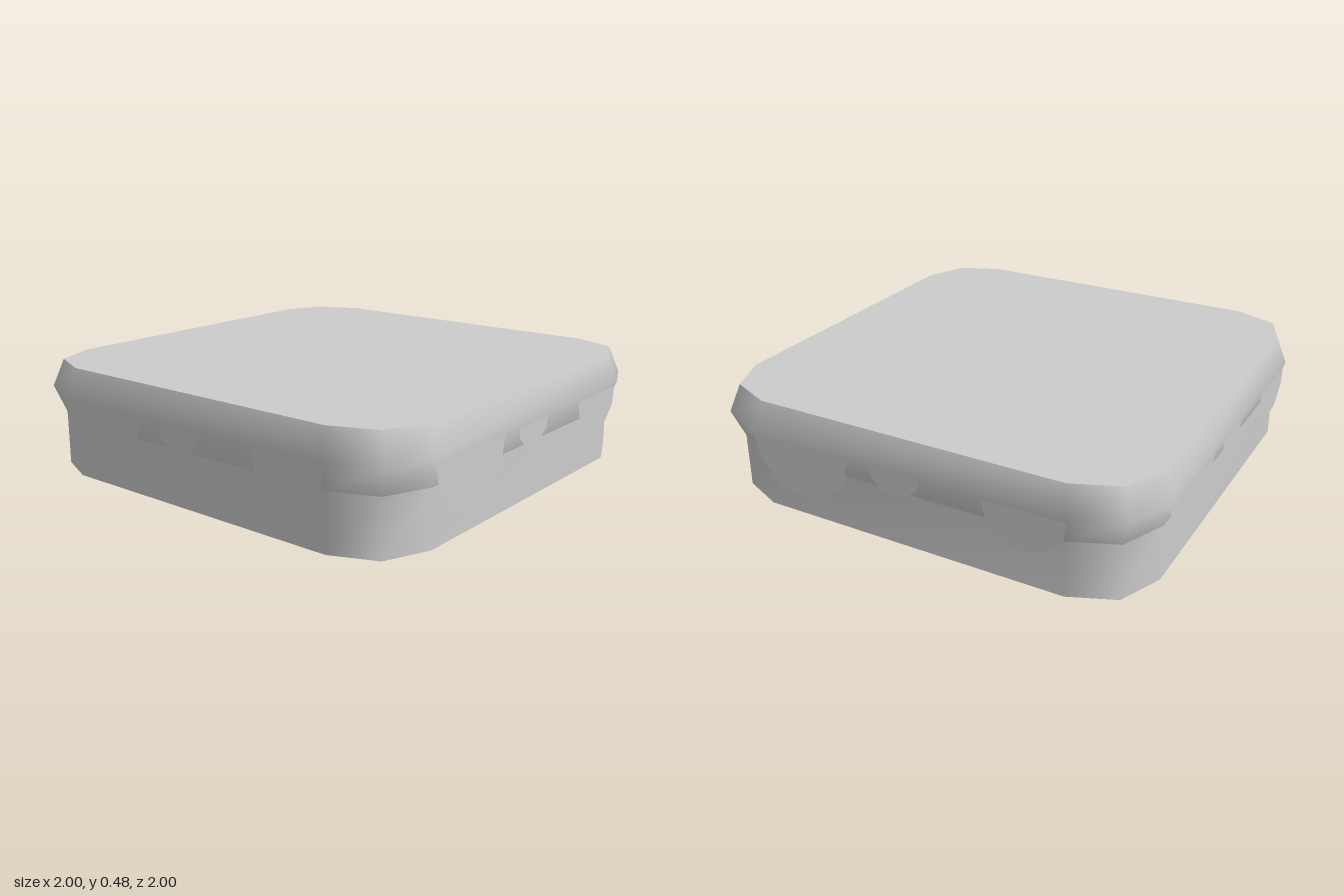
import * as THREE from 'three';

const material = new THREE.MeshStandardMaterial({ color: 0xcccccc });
const thinMaterial = new THREE.MeshStandardMaterial({ color: 0xcccccc, side: THREE.DoubleSide });

// Square outline with clipped corners, running from the +x side towards +z
const corner = [[1, 0.72], [0.917, 0.917], [0.72, 1]];
const outline = [];
for (let q = 0; q < 4; q++) {
  const c = [1, 0, -1, 0][q], s = [0, 1, 0, -1][q];
  for (const [x, z] of corner) outline.push([x * c - z * s, x * s + z * c]);
}

function addMesh(group, name, geometry, mat = material) {
  const mesh = new THREE.Mesh(geometry, mat);
  mesh.name = name;
  group.add(mesh);
  return mesh;
}

// Smooth wall through scaled copies of the outline; profile is [scale, y]
function wall(profile) {
  const n = outline.length, positions = [], index = [];
  for (const [s, y] of profile) for (const [x, z] of outline) positions.push(x * s, y, z * s);
  for (let r = 0; r < profile.length - 1; r++) {
    for (let i = 0; i < n; i++) {
      const a = r * n + i, b = r * n + (i + 1) % n;
      index.push(a, a + n, b, b, a + n, b + n);
    }
  }
  const g = new THREE.BufferGeometry();
  g.setAttribute('position', new THREE.Float32BufferAttribute(positions, 3));
  g.setIndex(index);
  g.computeVertexNormals();
  return g;
}

// Flat lid filling the outline
function cap(scale, y, up) {
  const shape = new THREE.Shape(outline.map(([x, z]) => new THREE.Vector2(x * scale, z * scale)));
  const g = new THREE.ShapeGeometry(shape);
  g.rotateX(up ? -Math.PI / 2 : Math.PI / 2);
  g.translate(0, y, 0);
  return g;
}

// Drip outlines on one side, as [x, y]
const drips = [
  [[-0.72, 0.34], [-0.70, 0.235], [-0.61, 0.135], [-0.485, 0.10], [-0.36, 0.135], [-0.27, 0.23], [-0.25, 0.34]],
  [[-0.14, 0.34], [-0.135, 0.295], [-0.09, 0.25], [-0.03, 0.235], [0.03, 0.25], [0.08, 0.295], [0.087, 0.34]],
  [[0.36, 0.34], [0.38, 0.25], [0.44, 0.19], [0.535, 0.165], [0.63, 0.19], [0.70, 0.26], [0.71, 0.34]],
];

export function createModel() {
  const model = new THREE.Group();
  model.name = 'frostedCake';

  // Cake body
  addMesh(model, 'cakeSide', wall([[0.96, 0], [0.96, 0.24]]));
  addMesh(model, 'cakeBottom', cap(0.96, 0, false));

  // Bulging layer of frosting
  addMesh(model, 'frostingSide', wall([[0.96, 0.24], [1, 0.36], [0.96, 0.48]]));
  addMesh(model, 'frostingTop', cap(0.96, 0.48, true));

  // Three thin drips hanging below the frosting, repeated on all four sides
  for (let side = 0; side < 4; side++) {
    const group = new THREE.Group();
    group.name = 'frostingDrips';
    group.rotation.y = side * Math.PI / 2;
    for (const points of drips) {
      const shape = new THREE.Shape(points.map(([x, y]) => new THREE.Vector2(x, y)));
      addMesh(group, 'drip', new THREE.ShapeGeometry(shape), thinMaterial).position.z = 0.993;
    }
    model.add(group);
  }
  return model;
}
